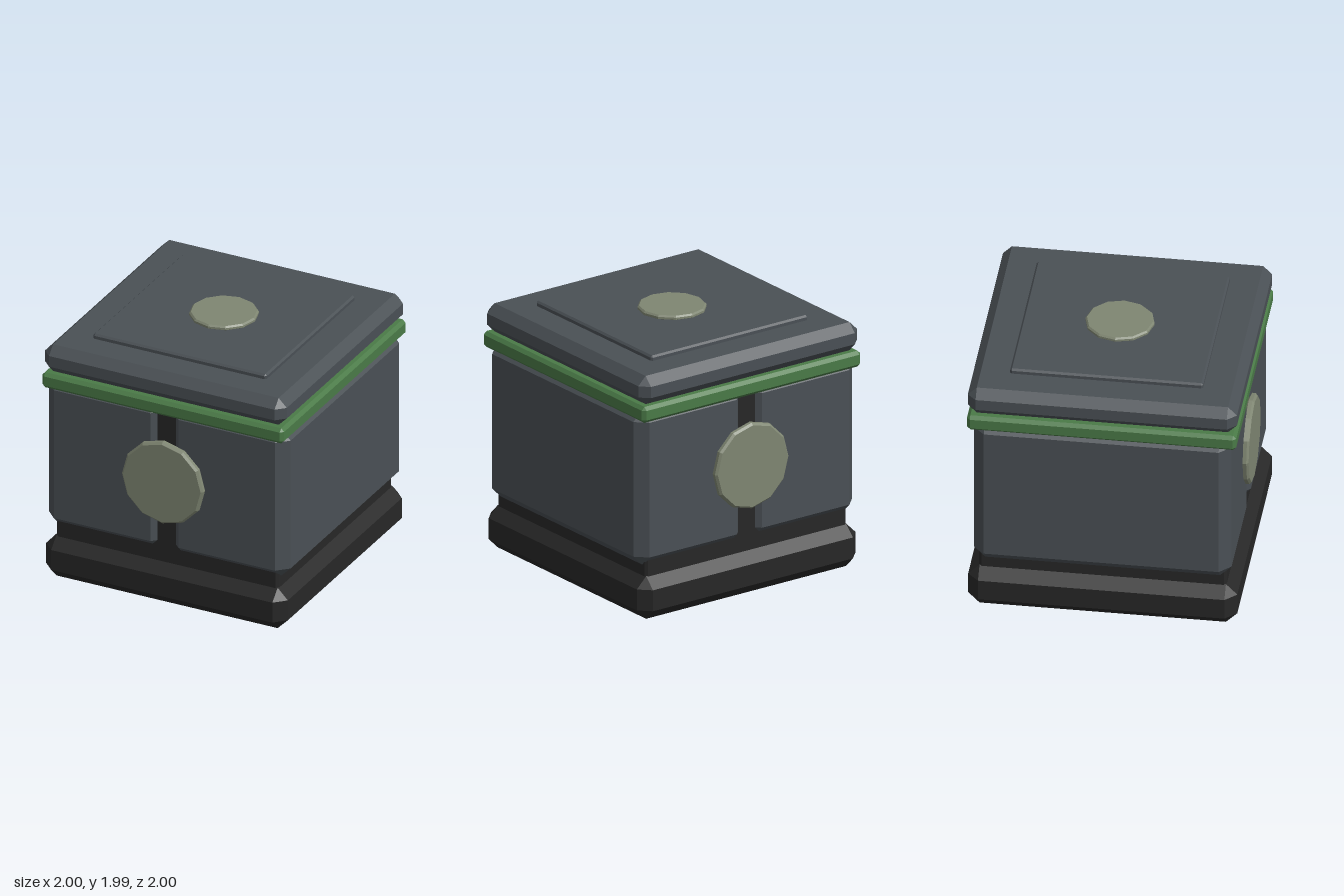
import * as THREE from 'three';
import { ConvexGeometry } from 'three/addons/geometries/ConvexGeometry.js';

const mat = (name, color) => {
  const m = new THREE.MeshStandardMaterial({ color });
  m.name = name;
  return m;
};

// Box between two corners with every edge chamfered by c
function chamferBox(min, max, c) {
  const mid = min.map((v, i) => (v + max[i]) / 2);
  const half = min.map((v, i) => (max[i] - v) / 2);
  const pts = [];
  for (const sx of [-1, 1]) for (const sy of [-1, 1]) for (const sz of [-1, 1]) {
    const s = [sx, sy, sz];
    for (let k = 0; k < 3; k++) {
      pts.push(new THREE.Vector3(...s.map((d, i) => mid[i] + d * (half[i] - (i === k ? 0 : c)))));
    }
  }
  return new ConvexGeometry(pts);
}

// Twelve-sided disc with bevelled rims, standing on y = 0, flat shaded
function bevelDisc(r, h, c) {
  const profile = [[0, 0], [r - c, 0], [r, c], [r, h - c], [r - c, h], [0, h]];
  const geo = new THREE.LatheGeometry(profile.map(p => new THREE.Vector2(...p)), 12).toNonIndexed();
  geo.computeVertexNormals();
  return geo;
}

export function createModel() {
  const group = new THREE.Group();
  const slate = mat('slate', 0x4a5055);
  const black = mat('charcoal', 0x272727);
  const green = mat('green', 0x4a7a47);
  const stone = mat('pale olive', 0x7f8672);

  const add = (name, geo, material) => {
    const mesh = new THREE.Mesh(geo, material);
    mesh.name = name;
    group.add(mesh);
    return mesh;
  };

  // Foot and inner core
  add('base', chamferBox([-1, 0, -1], [1, 0.335, 1], 0.085), black);
  add('core', chamferBox([-0.92, 0.2, -0.92], [0.92, 1.72, 0.92], 0.02), black);

  // Side shells, split by a groove along the middle
  add('rightShell', chamferBox([-1, 0.41, -0.957], [-0.03, 1.64, 0.957], 0.085), slate);
  add('leftShell', chamferBox([0.03, 0.41, -0.957], [1, 1.64, 0.957], 0.085), slate);

  // Band and lid
  add('band', chamferBox([-1, 1.575, -1], [1, 1.7, 1], 0.025), green);
  add('lid', chamferBox([-1, 1.7, -1], [1, 1.922, 1], 0.067), slate);
  add('lidPlate', chamferBox([-0.717, 1.9, -0.717], [0.717, 1.96, 0.717], 0.014), slate);

  // Round bosses on the lid, front and back
  add('lidDisc', bevelDisc(0.257, 0.04, 0.012), stone).position.y = 1.95;
  for (const s of [1, -1]) {
    const disc = add(s > 0 ? 'frontDisc' : 'backDisc', bevelDisc(0.337, 0.06, 0.016), stone);
    disc.rotation.x = s * Math.PI / 2;
    disc.position.set(0, 1.02, s * 0.94);
  }
  return group;
}
